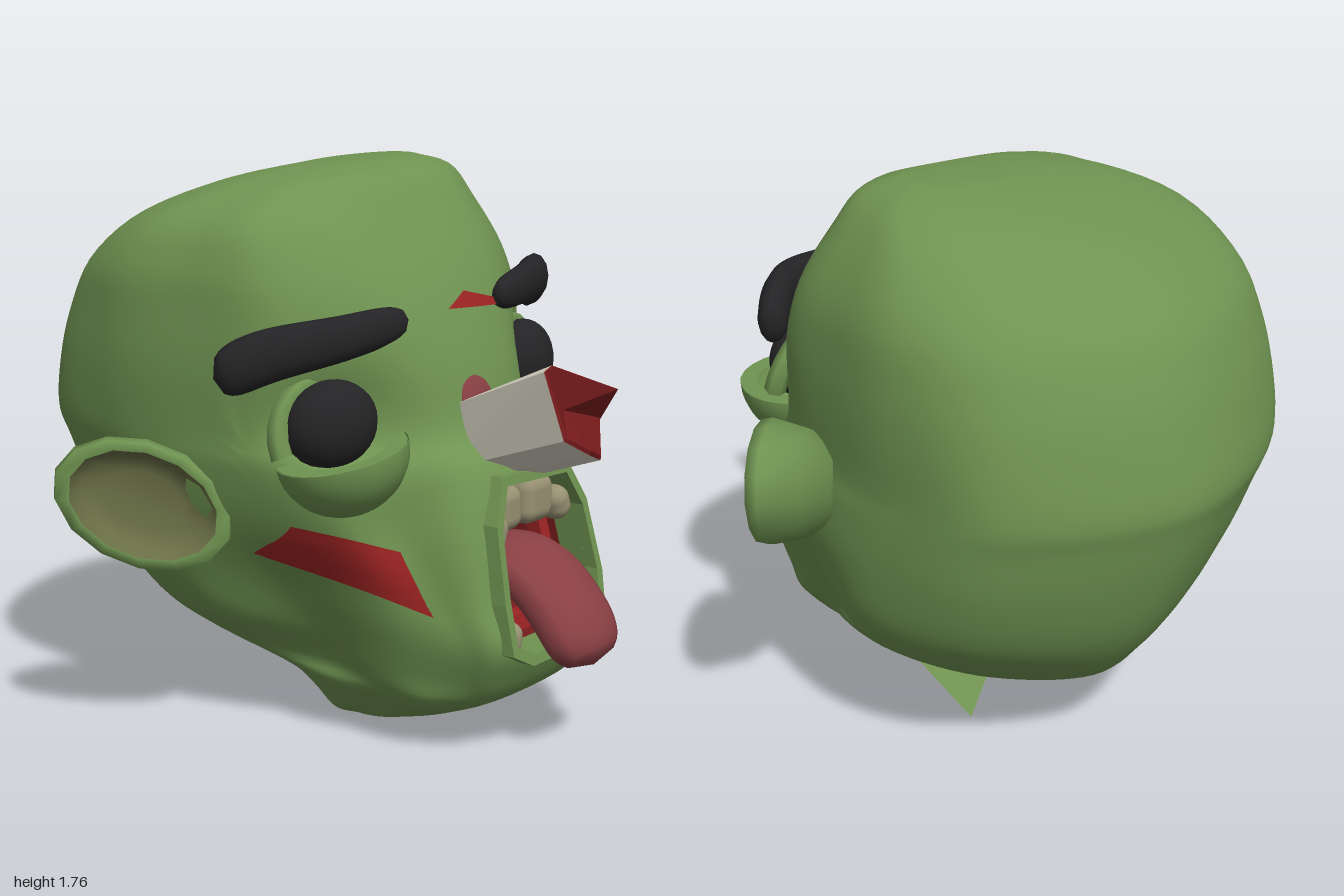
import * as THREE from 'three';
import { mergeVertices } from 'three/addons/utils/BufferGeometryUtils.js';
import { RoundedBoxGeometry } from 'three/addons/geometries/RoundedBoxGeometry.js';

const V = (x, y, z) => new THREE.Vector3(x, y, z);
const { lerp, smoothstep } = THREE.MathUtils;

function paint(name, color, double) {
  const m = new THREE.MeshStandardMaterial({ color });
  m.name = name;
  if (double) m.side = THREE.DoubleSide;
  return m;
}

// Skin closed rings of equal size; skip(point) leaves holes
function loft(rings, { capStart, capEnd, flat, skip } = {}) {
  const n = rings[0].length, pts = rings.flat(), index = [];
  const tri = (a, b, c) => {
    const mid = pts[a].clone().add(pts[b]).add(pts[c]).divideScalar(3);
    if (!skip || !skip(mid)) index.push(a, b, c);
  };
  for (let i = 0; i < rings.length - 1; i++) for (let j = 0; j < n; j++) {
    const a = i * n + j, b = i * n + (j + 1) % n;
    tri(a, b, a + n); tri(b, b + n, a + n);
  }
  const cap = (ring, base, end, at) => {
    const c = pts.length;
    pts.push(at.isVector3 ? at : ring.reduce((s, p) => s.add(p), V(0, 0, 0)).divideScalar(n));
    for (let j = 0; j < n; j++) {
      const a = base + j, b = base + (j + 1) % n;
      end ? tri(c, a, b) : tri(c, b, a);
    }
  };
  if (capStart) cap(rings[0], 0, false, capStart);
  if (capEnd) cap(rings[rings.length - 1], (rings.length - 1) * n, true, capEnd);
  let g = new THREE.BufferGeometry().setFromPoints(pts);
  g.setIndex(index);
  if (flat) g = g.toNonIndexed();
  g.computeVertexNormals();
  return g;
}

// Blunt-ended tube with a different thickness along each axis
function sweep(points, size, taper = 0) {
  const curve = new THREE.CatmullRomCurve3(points), seg = 32, rad = 12;
  const g = new THREE.TubeGeometry(curve, seg, 1, rad), p = g.attributes.position;
  for (let v = 0; v < p.count; v++) {
    const t = Math.floor(v / (rad + 1)) / seg, c = curve.getPointAt(t);
    const r = Math.sqrt(Math.max(0, 1 - Math.abs(2 * t - 1) ** 8)) * (1 - taper * t);
    const o = V().fromBufferAttribute(p, v).sub(c).multiply(size).multiplyScalar(r).add(c);
    p.setXYZ(v, o.x, o.y, o.z);
  }
  g.deleteAttribute('uv'); g.deleteAttribute('normal');
  const m = mergeVertices(g, 1e-5);
  m.computeVertexNormals();
  return m;
}

// Mouth outline, counter-clockwise, scaled about its middle
const MOUTH = [[-.2, .33], [.1, .33], [.18, .38], [.2, .5], [.18, .7], [.12, .81], [-.2, .82], [-.26, .7], [-.28, .5], [-.28, .37]];
const mouth = (s) => MOUTH.map(([x, y]) => new THREE.Vector2(-.04 + (x + .04) * s, .57 + (y - .57) * s));
const lipZ = (y) => .71 + (.8 - y) * .22;
function inside(poly, p) {
  let hit = false;
  poly.forEach((a, i) => {
    const b = poly[(i + 1) % poly.length];
    if ((a.y > p.y) !== (b.y > p.y) && p.x < a.x + (b.x - a.x) * (p.y - a.y) / (b.y - a.y)) hit = !hit;
  });
  return hit;
}

// Horizontal sections: y, back z, front z, side x, cheek x, front x (left then right each)
const HEAD = [
  [0, .03, .24, -.2, .02, -.19, .01, -.14, -.03],
  [.03, -.02, .38, -.26, .14, -.24, .12, -.17, .05],
  [.09, -.09, .55, -.32, .29, -.3, .26, -.22, .16],
  [.17, -.2, .72, -.39, .37, -.37, .33, -.25, .19],
  [.25, -.64, .78, -.42, .43, -.4, .37, -.29, .22],
  [.36, -.75, .82, -.55, .57, -.43, .4, -.32, .25],
  [.5, -.84, .775, -.62, .66, -.48, .45, -.33, .26],
  [.7, -.92, .73, -.68, .685, -.57, .51, -.32, .25],
  [.87, -.97, .695, -.72, .68, -.62, .54, -.26, .2],
  [.96, -.99, .6, -.735, .67, -.63, .55, -.26, .18],
  [1.15, -.95, .54, -.75, .67, -.65, .57, -.3, .2],
  [1.3, -.9, .48, -.745, .66, -.66, .58, -.33, .2],
  [1.45, -.82, .4, -.73, .63, -.66, .56, -.35, .22],
  [1.6, -.62, .29, -.66, .53, -.62, .47, -.36, .22],
  [1.7, -.36, .2, -.48, .41, -.46, .38, -.29, .2],
  [1.745, -.14, .08, -.22, .27, -.2, .25, -.12, .17],
];

function headGeometry() {
  const around = 120, up = 64;
  const sections = HEAD.map(([y, zb, zf, xl, xr, sl, sr, fl, fr]) => {
    const cx = (xl + xr) / 2 + .05, z = (t) => lerp(zb, zf, t);
    // the muzzle pinches in beside the mouth, and the jaw stays narrow ahead of the cranium
    const pinch = z(.92 - .055 * Math.exp(-(((y - .68) / .2) ** 2)));
    const jaw = lerp(.25, .82, smoothstep(y, .3, .8));
    const round = .84 - .09 * Math.min(1, ((y - .9) / .6) ** 2);
    return new THREE.CatmullRomCurve3([
      V((fl + fr) / 2, y, zf), V(fr, y, z(.975)), V(lerp(fr, sr, .45), y, pinch), V(sr, y, z(.8)),
      V(lerp(sr, xr, jaw), y, z(.61)), V(xr, y, z(.38)), V(lerp(cx, xr, round), y, z(.16)),
      V(cx, y, zb), V(lerp(cx, xl, round), y, z(.16)), V(xl, y, z(.38)), V(lerp(sl, xl, jaw), y, z(.61)),
      V(sl, y, z(.8)), V(lerp(fl, sl, .45), y, pinch), V(fl, y, z(.975))], true);
  });
  const columns = Array.from({ length: around }, (_, j) =>
    new THREE.CatmullRomCurve3(sections.map((s) => s.getPoint(j / around))));
  const rings = Array.from({ length: up + 1 }, (_, i) => columns.map((c) => {
    const p = c.getPoint(i / up);
    // eye sockets and the slightly tilted crown
    if (p.z > .1) for (const [x, y] of [[.38, 1.1], [-.53, 1.01]])
      p.z -= .09 * Math.exp(-((p.x - x) ** 2 + (p.y - y) ** 2) / .022);
    p.y += .06 * p.x * smoothstep(p.y, 1.3, 1.75);
    return p;
  }));
  const hole = mouth(1.04);
  return loft(rings, { capStart: true, capEnd: true, skip: (p) => p.z > .4 && inside(hole, p) });
}

export function createModel() {
  const model = new THREE.Group();
  const skin = paint('green skin', 0x6f9351, true), black = paint('black', 0x242426);
  const bone = paint('bone', 0xd9d4c4), red = paint('wound red', 0x9c2323, true);
  const darkRed = paint('dark red', 0x741a1b, true), pink = paint('tongue', 0x8a4044);
  const ivory = paint('teeth', 0x979072), olive = paint('inner ear', 0x696e45);
  const add = (name, geo, mat, parent = model) => {
    const m = new THREE.Mesh(geo, mat);
    m.name = name;
    parent.add(m);
    return m;
  };

  const head = add('head', headGeometry(), skin);

  // Ears: cupped dishes with a rolled rim
  const earRings = (list) => list.map(([s, z, dx]) => Array.from({ length: 14 }, (_, i) => {
    const a = i / 14 * Math.PI * 2;
    return V(.28 * s * Math.cos(a) + dx, .19 * s * Math.sin(a), z);
  }));
  for (const [side, x, y, z, yaw, roll] of [['left', .8, .94, -.02, .75, .5], ['right', -.8, .75, -.17, -.85, -.4]]) {
    const ear = new THREE.Group(), k = Math.sign(x);
    ear.name = side + 'Ear';
    ear.position.set(x, y, z);
    ear.rotation.set(0, yaw, roll);
    add('earShell', loft(earRings([[.5, -.16, -.11 * k], [.86, -.09, -.04 * k], [1, .01, 0], [.97, .045, 0], [.82, .04, 0]]), { capStart: true }), skin, ear);
    add('earHollow', loft(earRings([[.83, .04, 0], [.7, -.01, 0], [.45, -.03, 0]]), { capEnd: true }), olive, ear);
    model.add(ear);
  }

  // Eyes sunk behind a baggy lower lid and an arched upper lid
  for (const [side, x, y, z, yaw, roll] of [['left', .38, 1.02, .42, .3, -.06], ['right', -.53, .93, .37, -.4, .24]]) {
    const eye = new THREE.Group();
    eye.name = side + 'Eye';
    eye.position.set(x, y, z);
    eye.rotation.set(0, yaw, roll);
    const bag = add('lowerLid', new THREE.SphereGeometry(1, 24, 10, 0, Math.PI * 2, Math.PI / 2, Math.PI / 2), skin, eye);
    bag.scale.set(.2, .19, .19);
    const rim = add('lidRim', new THREE.RingGeometry(.14, .195, 24).rotateX(-Math.PI / 2), skin, eye);
    rim.position.y = .001;
    const ball = add('eyeball', new THREE.SphereGeometry(1, 24, 16), black, eye);
    ball.scale.set(.145, .13, .1);
    ball.position.set(0, .08, -.03);
    const arch = add('upperLid', new THREE.TorusGeometry(.175, .035, 6, 12, Math.PI), skin, eye);
    arch.position.set(0, .035, -.03);
    arch.rotation.x = -.3;
    model.add(eye);
  }

  // Eyebrows
  add('leftBrow', sweep([V(.63, 1.3, .22), V(.47, 1.36, .37), V(.25, 1.355, .46), V(.07, 1.335, .49)], V(.055, .088, .055), .4), black);
  add('rightBrow', sweep([V(-.79, 1.15, .11), V(-.7, 1.21, .22), V(-.52, 1.26, .37), V(-.32, 1.3, .45)], V(.055, .09, .055), .4), black);

  // Lip frame following the slope of the jaw
  const lip = new THREE.Shape(mouth(1.12));
  lip.holes.push(new THREE.Path(mouth(1)));
  const slope = (geo) => {
    const p = geo.attributes.position;
    for (let i = 0; i < p.count; i++) p.setZ(i, p.getZ(i) + lipZ(p.getY(i)));
    geo.computeVertexNormals();
    return geo;
  };
  add('lips', slope(new THREE.ExtrudeGeometry(lip, { depth: .14, bevelEnabled: false }).translate(0, 0, -.12)), skin);

  // Mouth cavity and gum arch
  const mouthRing = (s, d) => mouth(s).map((p) => V(p.x, p.y, lipZ(p.y) - d));
  add('mouthCavity', loft([mouthRing(1.03, .03), mouthRing(.95, .22), mouthRing(.7, .4)], { capEnd: true }), darkRed);
  const gum = new THREE.Shape(mouth(.94));
  gum.holes.push(new THREE.Path(mouth(.74)));
  add('gums', slope(new THREE.ExtrudeGeometry(gum, { depth: .05, bevelEnabled: false }).translate(0, 0, -.17)), red);

  // Teeth: x, y, width, height, roll
  for (const [x, y, w, h, r] of [[-.235, .68, .1, .12, -.4], [-.155, .74, .125, .14, .05], [0, .745, .15, .15, 0], [.125, .71, .09, .11, .4],
    [-.24, .375, .08, .1, -.2], [.155, .43, .08, .13, .2]]) {
    const tooth = add('tooth', new RoundedBoxGeometry(w, h, .1, 4, .044), ivory);
    tooth.position.set(x, y, lipZ(y) - .05);
    tooth.rotation.z = r;
  }

  // Tongue hanging out
  add('tongue', sweep([V(-.04, .46, .42), V(-.04, .545, .58), V(-.04, .535, .72), V(-.04, .42, .85), V(-.04, .28, .935)], V(.165, .088, .085)), pink);

  // Broken bone jutting from the nose hole
  const hole = add('noseHole', new THREE.SphereGeometry(1, 20, 12), pink);
  hole.scale.set(.09, .1, .02);
  hole.position.set(-.1, 1.05, .55);
  hole.rotation.x = -.25;
  const tip = [[-.26, .99, .95], [-.17, .94, .98], [-.04, .9, .94], [0, 1.01, .91], [-.02, 1.11, .98], [-.14, 1.18, .83], [-.26, 1.18, .88]].map((p) => V(...p));
  const root = tip.map((p) => V(p.x * 1.05 + .085, p.y - .15, .5));
  add('noseBone', loft([root, tip], { capStart: true, flat: true }), bone);
  const inner = tip.map((p) => p.clone().lerp(V(-.12, 1.04, p.z), .06).add(V(0, .006, .004)));
  add('boneMarrow', loft([tip, inner], { capEnd: V(-.12, 1.05, .86), flat: true }), darkRed);

  // Wounds: four-cornered patches laid on the skin
  head.updateMatrixWorld();
  const ray = new THREE.Raycaster();
  const wound = (name, [a, b, c, d]) => {
    const geo = new THREE.PlaneGeometry(1, 1, 12, 12), p = geo.attributes.position;
    for (let i = 0; i < p.count; i++) {
      const u = p.getX(i) + .5, v = p.getY(i) + .5;
      const x = lerp(lerp(a[0], b[0], u), lerp(d[0], c[0], u), v);
      const y = lerp(lerp(a[1], b[1], u), lerp(d[1], c[1], u), v);
      ray.set(V(x, y, 3), V(0, 0, -1));
      const hit = ray.intersectObject(head)[0];
      p.setXYZ(i, x, y, (hit ? hit.point.z : .4) + .02);
    }
    geo.computeVertexNormals();
    add(name, geo, red);
  };
  wound('foreheadWound', [[-.17, 1.32], [.11, 1.31], [.1, 1.33], [-.07, 1.365]]);
  wound('rightCheekWound', [[-.61, .6], [-.41, .45], [-.45, .64], [-.63, .71]]);
  wound('leftCheekWound', [[.35, .59], [.48, .67], [.46, .78], [.38, .7]]);

  // Torn flap of skin under the jaw
  const flap = new THREE.BufferGeometry().setFromPoints([V(.38, .22, -.12), V(.3, .035, -.32), V(.04, .13, -.17)]);
  flap.computeVertexNormals();
  add('skinFlap', flap, skin);

  return model;
}
